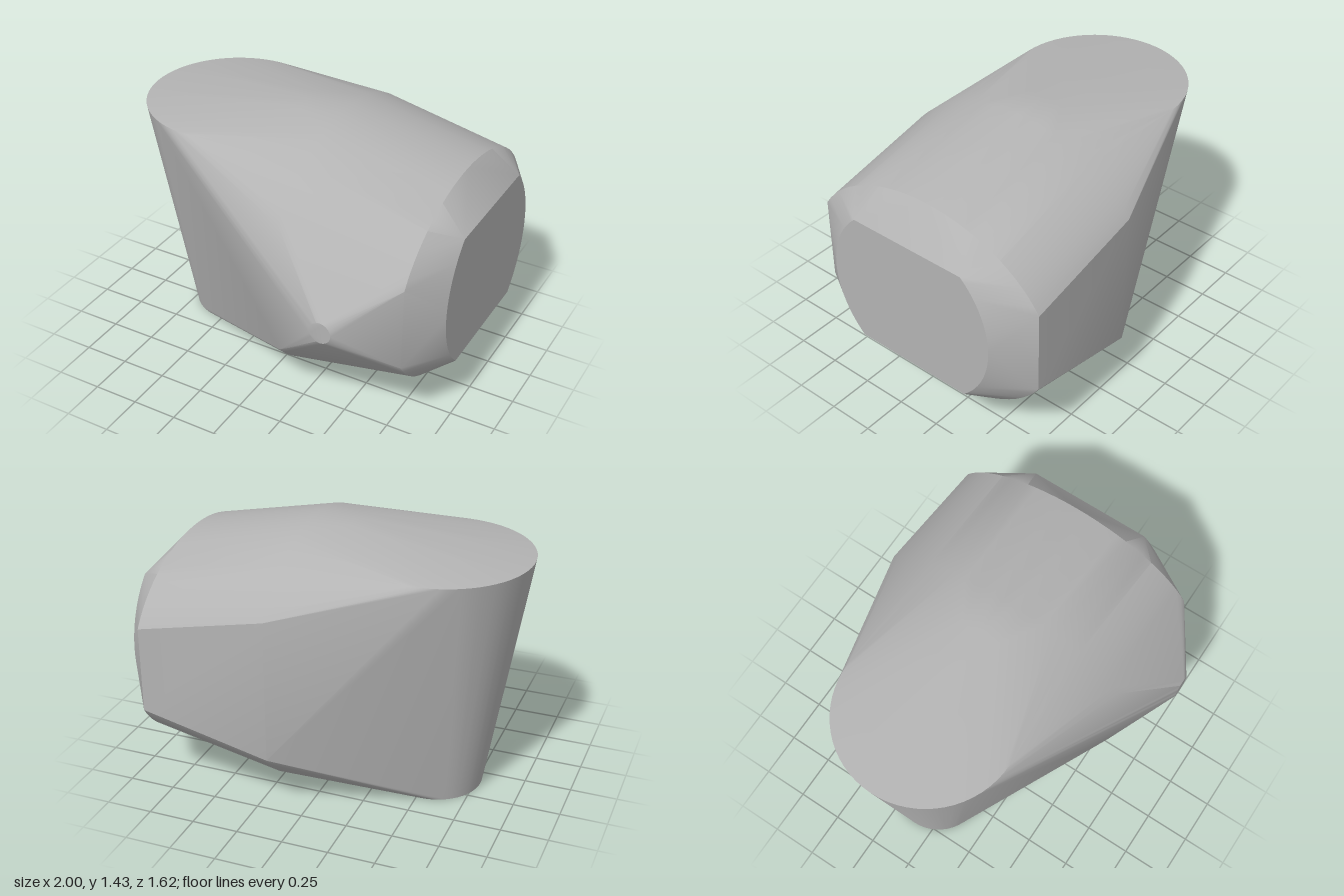
import * as THREE from 'three';
import { ConvexGeometry } from 'three/addons/geometries/ConvexGeometry.js';
import { toCreasedNormals } from 'three/addons/utils/BufferGeometryUtils.js';

const ZC = -0.11; // z of the body's axis
const YC = 0.72; // height of the body's axis

export function createModel() {
  const group = new THREE.Group();
  const grey = new THREE.MeshStandardMaterial({ color: 0xb3b3b3 });
  grey.name = 'plain grey';
  const points = [];

  // Horizontal ring of points
  const ring = (x, y, z, r, n) => {
    for (let i = 0; i < n; i++) {
      const a = (i / n) * Math.PI * 2;
      points.push(new THREE.Vector3(x + r * Math.cos(a), y, z + r * Math.sin(a)));
    }
  };
  // Elliptical section across x, cut flat at the half width w and half height h
  const section = (x, rz, ry, w, h) => {
    const a0 = Math.asin(Math.min(1, h / ry)); // highest angle kept
    const a1 = Math.acos(Math.min(1, w / rz)); // lowest angle kept
    const n = 14;
    for (let i = 0; i <= n; i++) {
      const a = a1 + ((a0 - a1) * i) / n;
      for (const sy of [-1, 1]) for (const sz of [-1, 1]) {
        if ((sz < 0 && Math.cos(a) < 1e-6) || (sy < 0 && Math.sin(a) < 1e-6)) continue;
        points.push(new THREE.Vector3(x, YC + sy * ry * Math.sin(a), ZC + sz * rz * Math.cos(a)));
      }
    }
  };

  // Tapered upright column at the right end: wide top, narrow foot
  ring(-0.52, 1.32, ZC, 0.48, 64);
  ring(-0.525, 0, ZC, 0.255, 48);

  // Barrel sections and the cut-off end face
  section(0.16, 0.835, 0.71, 0.7, 0.71);
  section(0.855, 0.77, 0.56, 0.7, 0.56);
  section(1, 0.51, 0.51, 0.51, 0.375);

  // Crest at the top of the barrel
  for (const dz of [-0.1, 0, 0.1]) {
    points.push(new THREE.Vector3(-0.06, YC + 0.71 * Math.sqrt(1 - (dz / 0.835) ** 2), ZC + dz));
  }

  // Small round tip at the front
  for (let i = 0; i < 20; i++) {
    const a = (i / 20) * Math.PI * 2;
    points.push(new THREE.Vector3(0.515 + 0.06 * Math.cos(a), YC + 0.06 * Math.sin(a), 0.805));
  }

  // Shell stretched around all sections
  const shell = new THREE.Mesh(toCreasedNormals(new ConvexGeometry(points), 0.5), grey);
  shell.name = 'shell';
  group.add(shell);
  return group;
}
